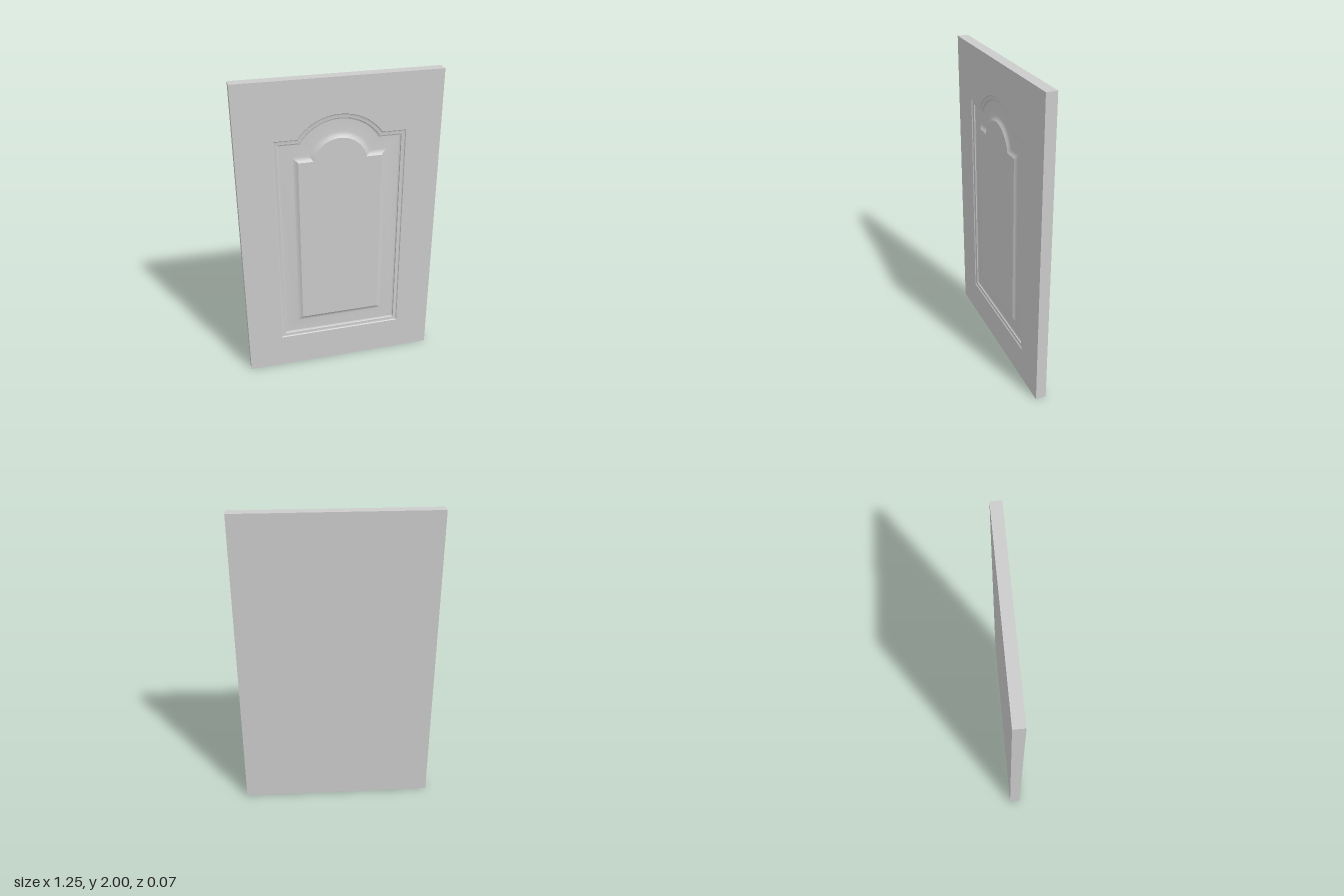
import * as THREE from 'three';
import { toCreasedNormals } from 'three/addons/utils/BufferGeometryUtils.js';

const WIDTH = 1.254, HEIGHT = 2, FRONT = 0.034, CORE = 0.01, ARC_STEPS = 32;

// Arched panel outline, inset by d, counter-clockwise from bottom left
function outline(d) {
  const w = 0.405 - d, bottom = 0.23 + d, shoulder = 1.645 - d;
  const cy = 1.465, r = 0.315 - d;
  const a0 = Math.asin((shoulder - cy) / r);
  const pts = [[-w, bottom], [w, bottom], [w, shoulder]];
  for (let i = 0; i <= ARC_STEPS; i++) {
    const a = a0 + (Math.PI - 2 * a0) * i / ARC_STEPS;
    pts.push([r * Math.cos(a), cy + r * Math.sin(a)]);
  }
  pts.push([-w, shoulder]);
  return pts.map(([x, y]) => new THREE.Vector2(x, y));
}

// Band of faces joining successive inset outlines; profile holds [inset, z]
function moulding(profile) {
  const rings = profile.map(([d, z]) => outline(d).map(p => [p.x, p.y, z]));
  const n = rings[0].length, pos = [];
  for (let k = 0; k < rings.length - 1; k++) {
    for (let i = 0; i < n; i++) {
      const j = (i + 1) % n;
      const a = rings[k][i], b = rings[k][j], c = rings[k + 1][j], e = rings[k + 1][i];
      pos.push(...a, ...b, ...c, ...a, ...c, ...e);
    }
  }
  const geo = new THREE.BufferGeometry();
  geo.setAttribute('position', new THREE.Float32BufferAttribute(pos, 3));
  return toCreasedNormals(geo, 0.35);
}

export function createModel() {
  const group = new THREE.Group();
  group.name = 'cabinetDoor';
  const material = new THREE.MeshStandardMaterial({ color: 0xcccccc });
  const add = (name, geo) => {
    const mesh = new THREE.Mesh(geo, material);
    mesh.name = name;
    group.add(mesh);
    return mesh;
  };

  // Solid backing slab
  const back = add('backSlab', new THREE.BoxGeometry(WIDTH, HEIGHT, CORE + FRONT));
  back.position.set(0, HEIGHT / 2, (CORE - FRONT) / 2);

  // Front frame with the arched opening
  const frame = new THREE.Shape([
    new THREE.Vector2(-WIDTH / 2, 0), new THREE.Vector2(WIDTH / 2, 0),
    new THREE.Vector2(WIDTH / 2, HEIGHT), new THREE.Vector2(-WIDTH / 2, HEIGHT),
  ]);
  frame.holes.push(new THREE.Path(outline(0).reverse()));
  add('frontFrame', new THREE.ExtrudeGeometry(frame, { depth: FRONT - CORE, bevelEnabled: false }))
    .position.z = CORE;

  // Stepped edge going down to the recessed field
  add('steppedMoulding', moulding([
    [0, FRONT], [0.004, 0.029], [0.01, 0.027], [0.025, 0.027], [0.028, 0.021], [0.035, 0.018],
  ]));

  // Recessed field and the cove rising to the raised panel
  const inset = 0.148;
  add('fieldAndCove', moulding([
    [0.035, 0.018], [0.112, 0.018], [0.122, 0.0195], [0.132, 0.023], [0.14, 0.028], [inset, FRONT],
  ]));

  // Flat top of the raised panel
  add('raisedPanel', new THREE.ShapeGeometry(new THREE.Shape(outline(inset)))).position.z = FRONT;

  return group;
}
